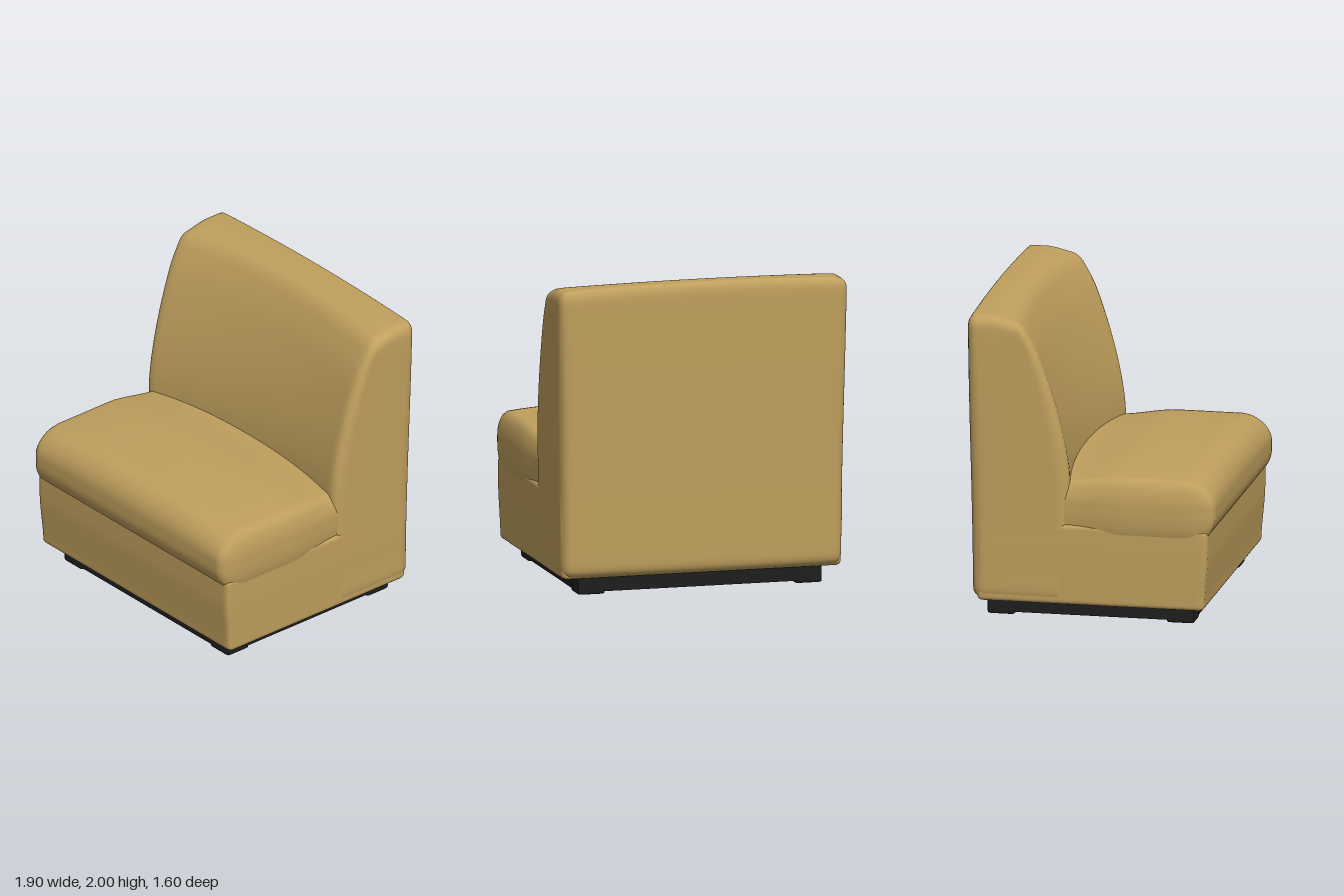
import * as THREE from 'three';
import { mergeVertices } from 'three/addons/utils/BufferGeometryUtils.js';

const { smoothstep, clamp } = THREE.MathUtils;

// Upholstered block: a box from min to max with elliptical edge radii, then bent by warp(p)
function softBox(min, max, radii, warp = () => {}, n = 36) {
  const lo = new THREE.Vector3(...min), hi = new THREE.Vector3(...max), r = new THREE.Vector3(...radii);
  const centre = lo.clone().add(hi).multiplyScalar(0.5);
  const half = hi.clone().sub(lo).multiplyScalar(0.5);
  const inner = half.clone().sub(r);
  const geo = new THREE.BoxGeometry(2, 2, 2, n, n, n);
  geo.deleteAttribute('uv');
  geo.deleteAttribute('normal');
  const pos = geo.attributes.position;
  const p = new THREE.Vector3(), core = new THREE.Vector3();
  for (let i = 0; i < pos.count; i++) {
    p.fromBufferAttribute(pos, i);
    // crowd the grid lines toward the edges
    for (const a of ['x', 'y', 'z']) {
      p[a] = Math.sin(p[a] * Math.PI / 2) * half[a];
      core[a] = clamp(p[a], -inner[a], inner[a]);
    }
    p.sub(core).divide(r).normalize().multiply(r).add(core).add(centre);
    warp(p);
    pos.setXYZ(i, p.x, p.y, p.z);
  }
  const merged = mergeVertices(geo, 1e-5);
  merged.computeVertexNormals();
  return merged;
}

export function createModel() {
  const group = new THREE.Group();
  const upholstery = new THREE.MeshStandardMaterial({ color: 0xbf9f5d });
  upholstery.name = 'tan upholstery';
  const black = new THREE.MeshStandardMaterial({ color: 0x1e1e1e });
  black.name = 'black plinth';

  const add = (name, geometry, material) => {
    const mesh = new THREE.Mesh(geometry, material);
    mesh.name = name;
    group.add(mesh);
    return mesh;
  };

  // Seat base, tucked in slightly toward the floor
  add('seatBase', softBox([-0.93, 0.11, -0.74], [0.93, 0.64, 0.755], [0.035, 0.03, 0.04], (p) => {
    const low = 1 - smoothstep(p.y, 0.1, 0.5);
    p.x *= 1 - 0.01 * low;
    if (p.z > 0) p.z -= 0.025 * low;
  }), upholstery);

  // Plump cushion: crowned top, falling and narrowing toward the backrest
  add('seatCushion', softBox([-0.947, 0.53, -0.5], [0.947, 0.987, 0.8], [0.06, 0.2, 0.2], (p) => {
    const back = 1 - smoothstep(p.z, -0.2, 0.2);
    if (p.y > 0.7) {
      const lift = smoothstep(p.y, 0.7, 0.98);
      p.y -= lift * (0.042 * Math.abs(p.x / 0.947) ** 3 + 0.04 * back);
    }
    p.x *= 1 - 0.03 * back;
  }), upholstery);

  // Backrest: raked, hollowed front; straight back; flares slightly upward
  const backZ = -0.8, frontZ = -0.13;
  add('backrest', softBox([-0.95, 0.11, backZ], [0.95, 2, frontZ], [0.07, 0.08, 0.1], (p) => {
    const u = p.x / 0.95;
    const depth = (p.z - backZ) / (frontZ - backZ);
    const rise = Math.max(0, (p.y - 0.9) / 1.1);
    const rake = 0.31 * rise ** 1.6;
    const hollow = 0.085 * Math.max(0, 1 - u * u);
    p.z -= depth * (rake + hollow);
    const low = 1 - smoothstep(p.y, 0.1, 2);
    if (depth < 0.5) p.z += 0.028 * low * (1 - depth * 2);
    p.x *= 1 - 0.025 * low;
    const top = smoothstep(p.y, 1.7, 2);
    p.y -= top * (0.022 * u * u + 0.035 * smoothstep(depth, 0.4, 1));
  }), upholstery);

  // Plinth frame, open in the middle
  const X = 0.8, Z0 = -0.69, Z1 = 0.64, bar = 0.1;
  const rect = (shape, x, a, b) => shape.moveTo(-x, a).lineTo(x, a).lineTo(x, b).lineTo(-x, b).closePath();
  const outline = rect(new THREE.Shape(), X, -Z1, -Z0);
  outline.holes.push(rect(new THREE.Path(), X - bar, -Z1 + bar, -Z0 - bar));
  const frame = add('plinthFrame', new THREE.ExtrudeGeometry(outline, { depth: 0.11, bevelEnabled: false }), black);
  frame.rotation.x = -Math.PI / 2;
  frame.position.y = 0.018;

  // Corner feet under the frame
  const foot = softBox([-0.09, 0, -0.09], [0.09, 0.125, 0.09], [0.02, 0.015, 0.02], undefined, 8);
  for (const sx of [-1, 1]) {
    for (const z of [Z0 + 0.085, Z1 - 0.085]) {
      add('cornerFoot', foot, black).position.set(sx * (X - 0.085), 0, z);
    }
  }
  return group;
}
